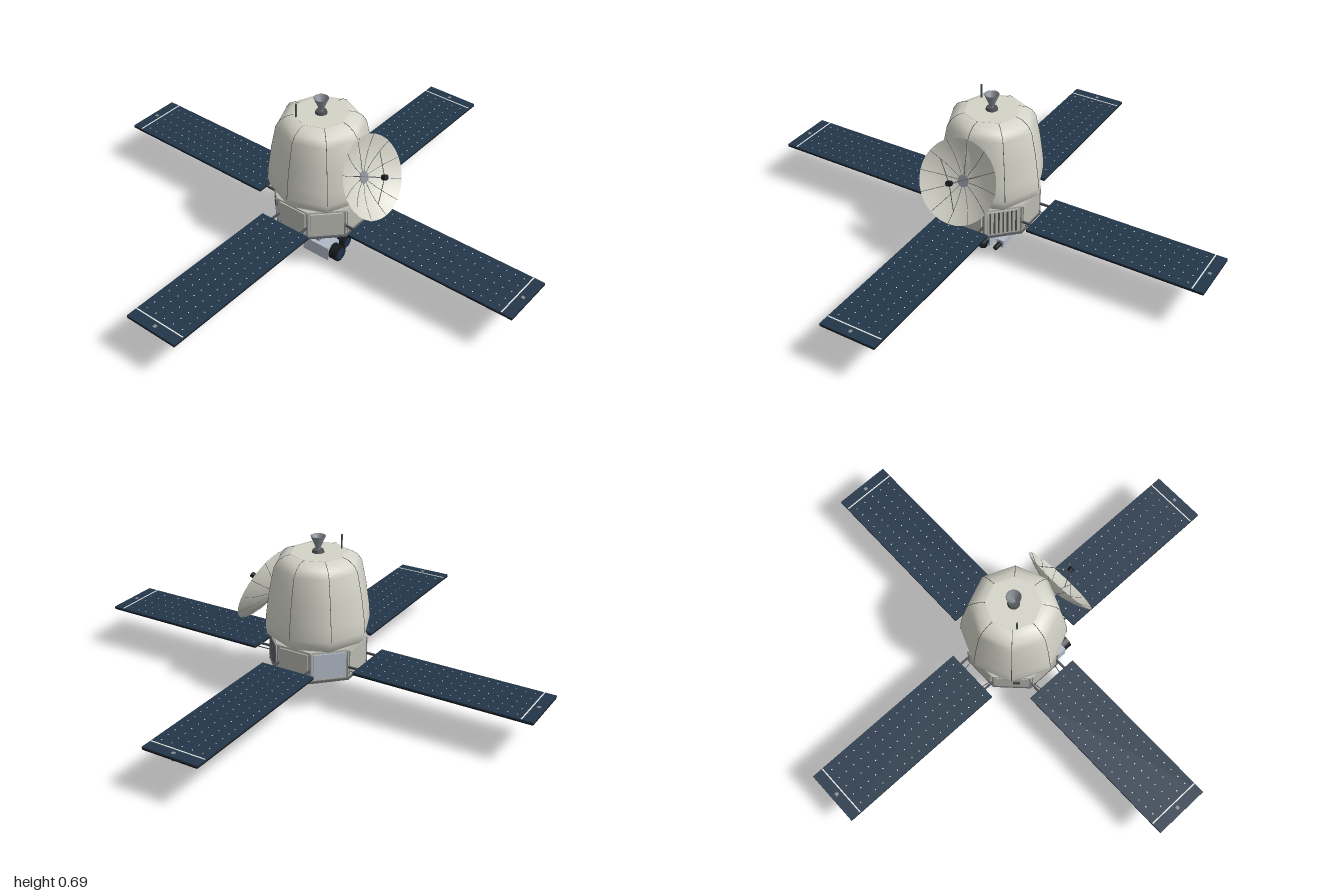
import * as THREE from 'three';
import { mergeGeometries } from 'three/addons/utils/BufferGeometryUtils.js';

const mat = (name, color, side = THREE.FrontSide) =>
  Object.assign(new THREE.MeshStandardMaterial({ color, side }), { name });

const M = {
  shell: mat('warm white shell', 0xd3d3c8, THREE.DoubleSide),
  bay: mat('pale grey bay', 0xb9b9b1),
  metal: mat('steel grey', 0x878c94, THREE.DoubleSide),
  strut: mat('dark grey strut', 0x4b4d50),
  base: mat('base grey', 0x5d5f62),
  cells: mat('navy solar cells', 0x223649),
  backing: mat('black panel backing', 0x16191c),
  radiator: mat('blue grey radiator', 0xb2bac8),
  white: mat('white', 0xe4e6e4),
  glass: mat('dark blue glass', 0x1d3048),
};

function add(parent, name, geo, material, x = 0, y = 0, z = 0) {
  const m = new THREE.Mesh(geo, material);
  m.name = name;
  m.position.set(x, y, z);
  parent.add(m);
  return m;
}
const box = (w, h, d) => new THREE.BoxGeometry(w, h, d);
const cyl = (rt, rb, h, n = 16) => new THREE.CylinderGeometry(rt, rb, h, n);

// A thin rod geometry between two points
function rod(a, b, r = 0.002) {
  const p = new THREE.Vector3(...a), q = new THREE.Vector3(...b);
  const d = q.clone().sub(p);
  const g = cyl(r, r, d.length(), 6);
  g.applyQuaternion(new THREE.Quaternion().setFromUnitVectors(new THREE.Vector3(0, 1, 0), d.normalize()));
  return g.translate(...p.add(q).multiplyScalar(0.5).toArray());
}
const rods = (list, r) => mergeGeometries(list.map(([a, b]) => rod(a, b, r)));

// Eight-sided prism with flat faces toward the axes
function octagon(apothem, h) {
  const r = apothem / Math.cos(Math.PI / 8);
  const g = new THREE.CylinderGeometry(r, r, h, 8, 1, false, Math.PI / 8).toNonIndexed();
  g.computeVertexNormals();
  return g;
}

function createShell() {
  const g = new THREE.Group();
  g.name = 'upperShell';
  const profile = [[0.195, 0.262], [0.214, 0.28], [0.221, 0.315], [0.217, 0.37], [0.203, 0.47],
    [0.183, 0.57], [0.165, 0.597], [0.138, 0.615], [0.112, 0.62]];
  add(g, 'shellWall', new THREE.LatheGeometry(profile.map(p => new THREE.Vector2(...p)), 8), M.shell);
  add(g, 'shellTop', cyl(0.112, 0.112, 0.004, 8), M.shell, 0, 0.619, 0);
  // Seams along the eight corners
  const seams = [];
  for (let i = 0; i < 8; i++) {
    const a = i * Math.PI / 4;
    const pt = ([r, y]) => [r * Math.sin(a), y, r * Math.cos(a)];
    for (let k = 2; k < profile.length - 1; k++) seams.push([pt(profile[k]), pt(profile[k + 1])]);
  }
  add(g, 'shellSeams', rods(seams, 0.0012), M.strut);
  // Horn and whip on the top
  add(g, 'hornCollar', cyl(0.022, 0.026, 0.012), M.strut, 0, 0.626, 0);
  add(g, 'hornNeck', cyl(0.009, 0.009, 0.02), M.metal, 0, 0.638, 0);
  const horn = [[0.009, 0.638], [0.031, 0.69], [0.028, 0.69], [0.006, 0.645], [0, 0.645]];
  add(g, 'horn', new THREE.LatheGeometry(horn.map(p => new THREE.Vector2(...p)), 16), M.metal);
  add(g, 'whip', cyl(0.004, 0.004, 0.07, 8), M.strut, -0.085, 0.645, -0.06);
  return g;
}

function createBus() {
  const g = new THREE.Group();
  g.name = 'equipmentBus';
  add(g, 'bus', octagon(0.186, 0.126), M.bay, 0, 0.2, 0);
  add(g, 'topRim', octagon(0.191, 0.008), M.bay, 0, 0.262, 0);
  add(g, 'bottomPlate', octagon(0.192, 0.008), M.base, 0, 0.132, 0);
  const ribs = [];
  for (let i = 0; i < 8; i++) {
    const a = i * Math.PI / 4;
    const face = new THREE.Group();
    face.name = 'bay' + i;
    face.rotation.y = a;
    g.add(face);
    // i = 0 faces front, 1 front left, 2 left, 3 back left
    add(face, 'bayPanel', box(0.132, 0.106, 0.008), i === 3 ? M.radiator : M.bay, 0, 0.2, 0.188);
    if (i === 1) {
      for (let k = -3; k <= 3; k++) add(face, 'louver', box(0.006, 0.1, 0.006), M.strut, k * 0.018, 0.2, 0.193);
    }
    add(face, 'cornerPost', cyl(0.004, 0.004, 0.126, 6), M.metal,
      0.077, 0.2, 0.187);
    if (i === 5) add(face, 'sensorPlate', box(0.03, 0.03, 0.006), M.strut, 0.02, 0.205, 0.193);
    const s = Math.sin(a), c = Math.cos(a);
    ribs.push([[0, 0.127, 0], [0.185 * s, 0.127, 0.185 * c]]);
  }
  add(g, 'baseRibs', rods(ribs, 0.004), M.strut);
  return g;
}

// One solar wing reaching along +x
function createWing() {
  const g = new THREE.Group();
  const len = 0.765, mid = 0.6175;
  add(g, 'panelBacking', box(len, 0.006, 0.244), M.backing, mid, 0.183, 0);
  add(g, 'solarCells', box(len, 0.006, 0.244), M.cells, mid, 0.189, 0);
  add(g, 'endStrip', box(0.005, 0.002, 0.24), M.white, 0.952, 0.1925, 0);
  add(g, 'tipSensor', box(0.014, 0.03, 0.014), M.metal, 0.975, 0.178, 0);
  // Small contacts between the cells
  const dots = [];
  for (let i = 0; i < 18; i++) {
    for (let j = -2; j <= 2; j++) {
      dots.push(new THREE.PlaneGeometry(0.0045, 0.0045).rotateX(-Math.PI / 2)
        .translate(0.262 + i * 0.039, 0.1926, j * 0.046));
    }
  }
  add(g, 'cellContacts', mergeGeometries(dots), M.white);
  // Bracing under the panel
  const apex = [0.59, 0.11, 0];
  const list = [];
  for (const s of [-1, 1]) {
    add(g, 'hingeArm', box(0.08, 0.008, 0.008), M.strut, 0.21, 0.184, s * 0.075);
    list.push([apex, [0.98, 0.176, s * 0.085]], [apex, [0.19, 0.158, s * 0.06]],
      [[0.25, 0.177, s * 0.1], [0.6, 0.177, -s * 0.1]],
      [[0.6, 0.177, s * 0.1], [0.97, 0.177, -s * 0.1]],
      [[0.24, 0.177, s * 0.11], [0.99, 0.177, s * 0.11]]);
  }
  add(g, 'wingBraces', rods(list, 0.002), M.strut);
  return g;
}

function createDish() {
  const g = new THREE.Group();
  g.name = 'dishAntenna';
  const R = 0.174, depth = 0.05;
  const at = r => depth * ((r / R) ** 2 - 1);
  const pts = [0, 0.2, 0.4, 0.6, 0.8, 1].map(t => new THREE.Vector2(t * R, at(t * R)));
  add(g, 'reflector', new THREE.LatheGeometry(pts, 32), M.shell);
  // Radial ribs and feed supports
  const ribs = [], legs = [];
  for (let i = 0; i < 12; i++) {
    const s = Math.sin(i * Math.PI / 6), c = Math.cos(i * Math.PI / 6);
    const p = r => [r * s, at(r), r * c];
    ribs.push([p(0.015), p(0.07)], [p(0.07), p(0.12)], [p(0.12), p(R)]);
    if (i % 4 === 0) legs.push([p(0.125), [0, 0.062, 0]]);
  }
  add(g, 'dishRibs', rods(ribs, 0.001), M.strut);
  add(g, 'feedLegs', rods(legs, 0.0015), M.strut);
  add(g, 'feed', cyl(0.012, 0.012, 0.02, 12), M.backing, 0, 0.062, 0);
  add(g, 'dishMount', cyl(0.025, 0.03, 0.04), M.metal, 0, -0.066, 0);
  g.position.set(0, 0.4225, 0.2625);
  g.rotation.x = 1.139;
  return g;
}

function createInstruments() {
  const g = new THREE.Group();
  g.name = 'instruments';
  // Mounting beam and hangers
  add(g, 'beam', box(0.25, 0.012, 0.03), M.metal, -0.02, 0.108, 0.09);
  for (const x of [-0.12, -0.05, 0.05, 0.1]) add(g, 'hanger', box(0.01, 0.05, 0.012), M.strut, x, 0.11, 0.09);
  // Cameras: x, y, housing width, height, back z, front z, lens radius
  const cams = [[-0.12, 0.066, 0.074, 0.062, 0.03, 0.16, 0.034], [-0.05, 0.072, 0.056, 0.054, 0.02, 0.14, 0.026],
    [0.05, 0.07, 0.04, 0.042, 0.03, 0.13, 0.015], [0.112, 0.071, 0.032, 0.034, 0.05, 0.12, 0.01]];
  for (const [x, y, w, h, z0, z1, r] of cams) {
    add(g, 'cameraBody', box(w, h, z1 - z0), M.radiator, x, y, (z0 + z1) / 2);
    add(g, 'cameraBarrel', cyl(r, r, 0.04, 20).rotateX(Math.PI / 2), M.backing, x, y, z1 + 0.018);
    add(g, 'cameraLens', cyl(r * 0.75, r * 0.75, 0.004, 20).rotateX(Math.PI / 2), M.glass, x, y, z1 + 0.038);
  }
  // Small tracker slung below
  add(g, 'trackerStem', cyl(0.005, 0.005, 0.08, 8), M.strut, 0.02, 0.07, 0.075);
  add(g, 'trackerBody', box(0.024, 0.028, 0.045), M.radiator, 0.02, 0.022, 0.072);
  add(g, 'trackerEye', cyl(0.017, 0.017, 0.012, 16).rotateX(Math.PI / 2), M.backing, 0.02, 0.017, 0.098);
  return g;
}

export function createModel() {
  const model = new THREE.Group();
  model.name = 'spacecraft';
  model.add(createShell(), createBus(), createDish(), createInstruments());
  ['leftWing', 'backWing', 'rightWing', 'frontWing'].forEach((name, i) => {
    const wing = createWing();
    wing.name = name;
    wing.rotation.y = i * Math.PI / 2;
    model.add(wing);
  });
  return model;
}
